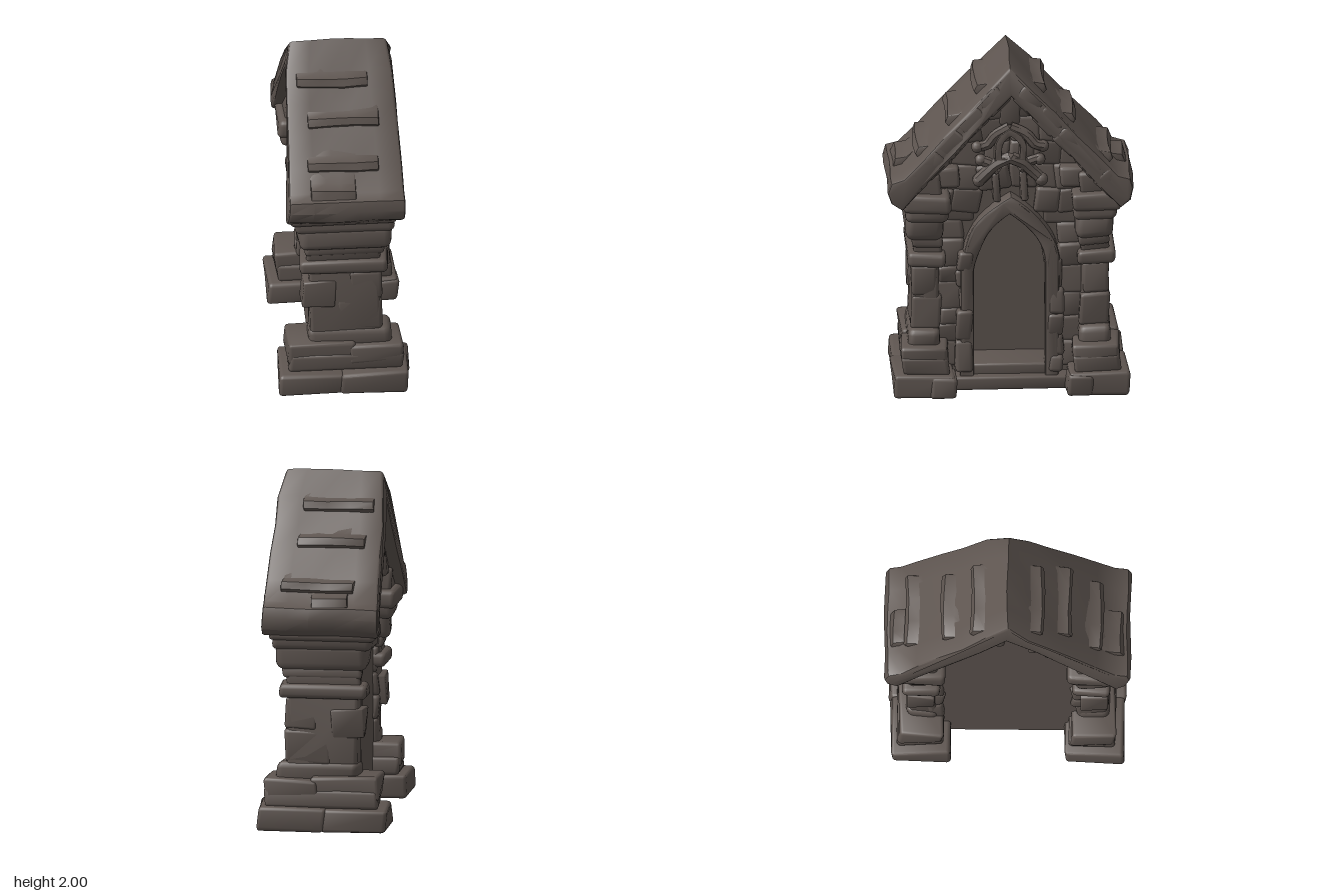
import * as THREE from 'three';
import { toCreasedNormals } from 'three/addons/utils/BufferGeometryUtils.js';
import { RoundedBoxGeometry } from 'three/addons/geometries/RoundedBoxGeometry.js';

const stoneMat = new THREE.MeshStandardMaterial({ color: 0x5e5550 });
stoneMat.name = 'dark stone';

let seed = 7;
const rnd = (a, b) => {
  seed = (seed * 16807) % 2147483647;
  return a + (b - a) * seed / 2147483647;
};

// smooth position-based wobble, so coincident corners stay joined
function weather(geo, amp) {
  const p = geo.attributes.position;
  for (let i = 0; i < p.count; i++) {
    const x = p.getX(i), y = p.getY(i), z = p.getZ(i);
    p.setXYZ(i,
      x + amp * Math.sin(17 * y + 11 * z + 3),
      y < 0.01 ? y : y + amp * 0.6 * Math.sin(13 * x + 15 * z + 1),
      z + amp * Math.sin(19 * y + 12 * x + 5));
  }
  return geo;
}

function add(parent, name, geo) {
  const m = new THREE.Mesh(toCreasedNormals(geo, 0.7), stoneMat);
  m.name = name;
  parent.add(m);
  return m;
}

// worn block given by its extents
function stone(parent, name, x0, x1, y0, y1, z0, z1, r = 0.022, tilt = 0, amp = 0.008) {
  const w = x1 - x0, h = y1 - y0, d = z1 - z0;
  const geo = new RoundedBoxGeometry(w, h, d, 2, Math.min(r, w / 3, h / 3, d / 3));
  if (tilt) geo.rotateX(tilt);
  geo.translate((x0 + x1) / 2, (y0 + y1) / 2, (z0 + z1) / 2);
  return add(parent, name, weather(geo, amp));
}

// pointed arch outline, drawn across z
function arch(w, y0, spring, tip, Kind = THREE.Shape) {
  const s = new Kind(), k = spring + (tip - spring) * 0.62;
  s.moveTo(-w, y0);
  s.lineTo(w, y0);
  s.lineTo(w, spring);
  s.quadraticCurveTo(w * 0.95, k, 0, tip);
  s.quadraticCurveTo(-w * 0.95, k, -w, spring);
  s.closePath();
  return s;
}

// extrude an outline (z, y) from x0 to x1
function slab(shape, x0, x1, bevel = 0, steps = 1) {
  const geo = new THREE.ExtrudeGeometry(shape, {
    depth: x1 - x0 - 2 * bevel, steps, curveSegments: 10, bevelEnabled: bevel > 0,
    bevelSize: bevel, bevelThickness: bevel, bevelOffset: -bevel, bevelSegments: 2,
  });
  return geo.translate(0, 0, x0 + bevel).rotateY(Math.PI / 2);
}

const polygon = pts => new THREE.Shape(pts.map(p => new THREE.Vector2(...p)));
const roofY = z => 2 - 1.06 * Math.abs(z);

// carved rib along points (z, y), mirrored by s
function rib(g, s, x, r, pts) {
  const curve = new THREE.CatmullRomCurve3(pts.map(([z, y]) => new THREE.Vector3(x, y, s * z)));
  add(g, 'traceryRib', weather(new THREE.TubeGeometry(curve, 8, r, 8), 0.006));
  const end = pts[pts.length - 1];
  add(g, 'traceryKnob', new THREE.SphereGeometry(r * 1.1, 10, 8).translate(x, end[1], s * end[0]));
}

function buildWall(g) {
  const outline = () => polygon([[-0.45, 0], [0.45, 0], [0.45, 1.36], [0, 1.87], [-0.45, 1.36]]);
  add(g, 'backWall', slab(outline(), -0.17, -0.05));
  const front = outline();
  front.holes.push(arch(0.215, 0.1, 0.72, 1.08, THREE.Path));
  add(g, 'frontWall', slab(front, -0.05, 0.13));
  // doorway surround and threshold; the surround's foot is buried in the sill
  const ring = arch(0.285, 0.02, 0.76, 1.18);
  ring.holes.push(arch(0.205, 0.07, 0.72, 1.07, THREE.Path));
  add(g, 'doorArch', weather(slab(ring, 0.05, 0.215, 0.015), 0.006));
  stone(g, 'lowerSill', -0.15, 0.24, 0, 0.08, -0.34, 0.34, 0.015, 0, 0.004);
  stone(g, 'upperSill', -0.1, 0.18, 0.05, 0.14, -0.22, 0.22, 0.015, 0, 0.004);

  for (const s of [-1, 1]) {
    const span = (name, x1, y0, y1, a, b, tilt = 0) =>
      stone(g, name, 0.04, x1, y0, y1, Math.min(s * a, s * b), Math.max(s * a, s * b), 0.022, tilt * s);
    // jamb stones
    for (let y = 0.1; y < 0.78;) {
      const h = rnd(0.1, 0.2);
      span('jambStone', rnd(0.2, 0.23), y, Math.min(y + h, 0.84), 0.217, rnd(0.29, 0.32));
      y += h;
    }
    // rough masonry beside the arch
    for (let y = 0.12; y < 1.1;) {
      const h = rnd(0.09, 0.17);
      span('wallStone', rnd(0.15, 0.18), y, y + h + 0.01, y > 0.9 ? 0.2 : 0.27, rnd(0.4, 0.45));
      y += h;
    }
    // gable masonry
    for (let y = 1.06; y < 1.68; y += 0.145) {
      const edge = Math.min(0.5, (1.8 - y) / 1.08);
      for (let z = 0; z < edge - 0.03;) {
        const w = rnd(0.11, 0.19);
        if (y > 1.15 || z > 0.1)
          span('gableStone', rnd(0.15, 0.175), y, y + 0.155, z, Math.min(z + w + 0.01, edge), rnd(-0.08, 0.08));
        z += w;
      }
    }
    span('shoulderStone', 0.23, 1.24, 1.36, 0.29, 0.43);
    // carved tracery around the small niche
    span('traceryShaft', 0.2, 1.14, 1.32, 0.06, 0.1);
    rib(g, s, 0.2, 0.036, [[0, 1.42], [0.08, 1.38], [0.13, 1.33], [0.18, 1.28]]);
    rib(g, s, 0.19, 0.032, [[0.06, 1.34], [0.11, 1.38], [0.17, 1.4]]);
    rib(g, s, 0.19, 0.032, [[0, 1.6], [0.09, 1.55], [0.14, 1.49], [0.19, 1.48]]);
    // ragged stones framing the flat rear wall
    for (let z = 0.02; z < 0.46; z += 0.1) {
      const y = 1.83 - 1.08 * (z + 0.05), a = s * z, b = s * (z + 0.11);
      stone(g, 'rearGableStone', -0.25, -0.1, y - 0.1 - rnd(0, 0.05), y + 0.05, Math.min(a, b), Math.max(a, b));
    }
    for (let y = 0.3; y < 1.2;) {
      const h = rnd(0.1, 0.18), a = s * rnd(0.36, 0.4), b = s * 0.46;
      stone(g, 'rearQuoin', -0.2, -0.1, y, y + h, Math.min(a, b), Math.max(a, b));
      y += h;
    }
  }
  const small = arch(0.09, 1.41, 1.49, 1.6);
  small.holes.push(arch(0.052, 1.425, 1.48, 1.555, THREE.Path));
  add(g, 'traceryArch', weather(slab(small, 0.1, 0.235, 0.006), 0.004));
  stone(g, 'gablePeak', 0.06, 0.18, 1.6, 1.8, -0.06, 0.06);
}

function buildPillar(s) {
  const p = new THREE.Group();
  p.name = s > 0 ? 'frontPillar' : 'backPillar';
  const block = (name, x0, x1, y0, y1, a, b, r) =>
    stone(p, name, x0, x1, y0, y1, Math.min(s * a, s * b), Math.max(s * a, s * b), r);
  // stepped foot, in several stones
  block('plinth', -0.375, 0.0, 0, 0.135, 0.33, 0.67);
  block('plinth', -0.02, 0.37, 0, 0.14, 0.33, 0.68);
  block('plinthCornerStone', 0.2, 0.38, 0, 0.13, 0.32, 0.47);
  block('footStone', -0.32, 0.34, 0.13, 0.24, 0.36, 0.63);
  block('footStone', -0.33, 0.06, 0.18, 0.32, 0.37, 0.625);
  block('footStone', 0.02, 0.335, 0.18, 0.3, 0.36, 0.63);
  block('footCap', -0.21, 0.27, 0.26, 0.39, 0.4, 0.585, 0.04);
  // shaft
  block('shaft', -0.2, 0.21, 0.28, 0.8, 0.41, 0.57);
  block('shaftStone', -0.24, -0.05, 0.54, 0.71, 0.42, 0.58, 0.012);
  block('shaftStone', -0.04, 0.225, 0.38, 0.58, 0.4, 0.572);
  block('shaftStone', 0.03, 0.22, 0.58, 0.77, 0.42, 0.57);
  // mouldings and capital
  block('collar', -0.25, 0.26, 0.765, 0.85, 0.38, 0.6, 0.03);
  block('neck', -0.21, 0.22, 0.83, 0.96, 0.4, 0.565);
  block('neckBand', -0.22, 0.24, 0.88, 0.95, 0.39, 0.57);
  block('capital', -0.26, 0.27, 0.93, 1.09, 0.38, 0.6, 0.045);
  block('capitalTop', -0.29, 0.29, 1.05, 1.16, 0.36, 0.61, 0.035);
  block('abacus', -0.31, 0.31, 1.11, 1.22, 0.35, 0.63, 0.03);
  block('eaveBlock', -0.27, 0.26, 1.18, 1.34, 0.4, 0.6);
  return p;
}

function buildRoof(g) {
  // gabled slab, subdivided down the slope so its edges look worn
  const half = [[0.13, 1.865], [0.26, 1.725], [0.39, 1.59], [0.52, 1.45], [0.62, 1.34], [0.69, 1.32],
    [0.71, 1.26], [0.69, 1.19], [0.63, 1.145], [0.5, 1.29], [0.33, 1.475], [0.16, 1.66]];
  const pts = [[0, 2], ...half, [0, 1.83], ...half.map(([z, y]) => [-z, y]).reverse()];
  const geo = slab(polygon(pts), -0.34, 0.34, 0.018, 5);
  const pos = geo.attributes.position;
  for (let i = 0; i < pos.count; i++) {
    const y = pos.getY(i);
    const k = y > 1.9 ? 0.9 - (y - 1.9) * 0.8 : 1 - (y - 1.2) * 0.14;
    pos.setX(i, pos.getX(i) * k + 0.008);
  }
  add(g, 'roof', weather(geo, 0.005));

  // raised slates: lower edge z, x range, on each slope
  const slates = [
    [0.2, -0.24, 0.17], [0.36, -0.19, 0.22], [0.54, -0.21, 0.2], [0.66, -0.2, 0.06],
    [-0.2, -0.25, 0.16], [-0.37, -0.22, 0.17], [-0.58, -0.18, 0.24], [-0.66, -0.15, 0.06],
  ];
  for (const [z, x0, x1] of slates) {
    const s = -Math.sign(z), a = Math.abs(z), y = roofY(z) + 0.015;
    const top = Math.max(y + 0.06, a > 0.6 ? 1.385 : 0);
    const outline = polygon([[s * (a - 0.16), roofY(a - 0.16) - 0.01], [s * (a - 0.07), top],
      [s * (a - 0.005), top - 0.01], [s * (a + 0.012), y + 0.01], [s * (a - 0.03), y - 0.04]]);
    add(g, 'roofSlate', weather(slab(outline, x0, x1, 0.008, 3), 0.006));
  }

  // verge stones along the decorated gable
  for (const s of [-1, 1]) {
    for (let i = 0; i < 5; i++) {
      const z = 0.1 + i * 0.118, y = 1.905 - z * 1.07, k = 0.3 + i * 0.007;
      const geo2 = new RoundedBoxGeometry(0.06, 0.125, 0.165, 2, 0.02);
      geo2.rotateX(s * 0.82).translate(k - 0.02, y, s * z);
      add(g, 'vergeStone', weather(geo2, 0.005));
    }
  }
}

export function createModel() {
  const model = new THREE.Group();
  model.name = 'stoneShrine';
  const wall = new THREE.Group(), roof = new THREE.Group();
  wall.name = 'wall';
  roof.name = 'roofAssembly';
  buildWall(wall);
  buildRoof(roof);
  model.add(wall, buildPillar(1), buildPillar(-1), roof);
  return model;
}
